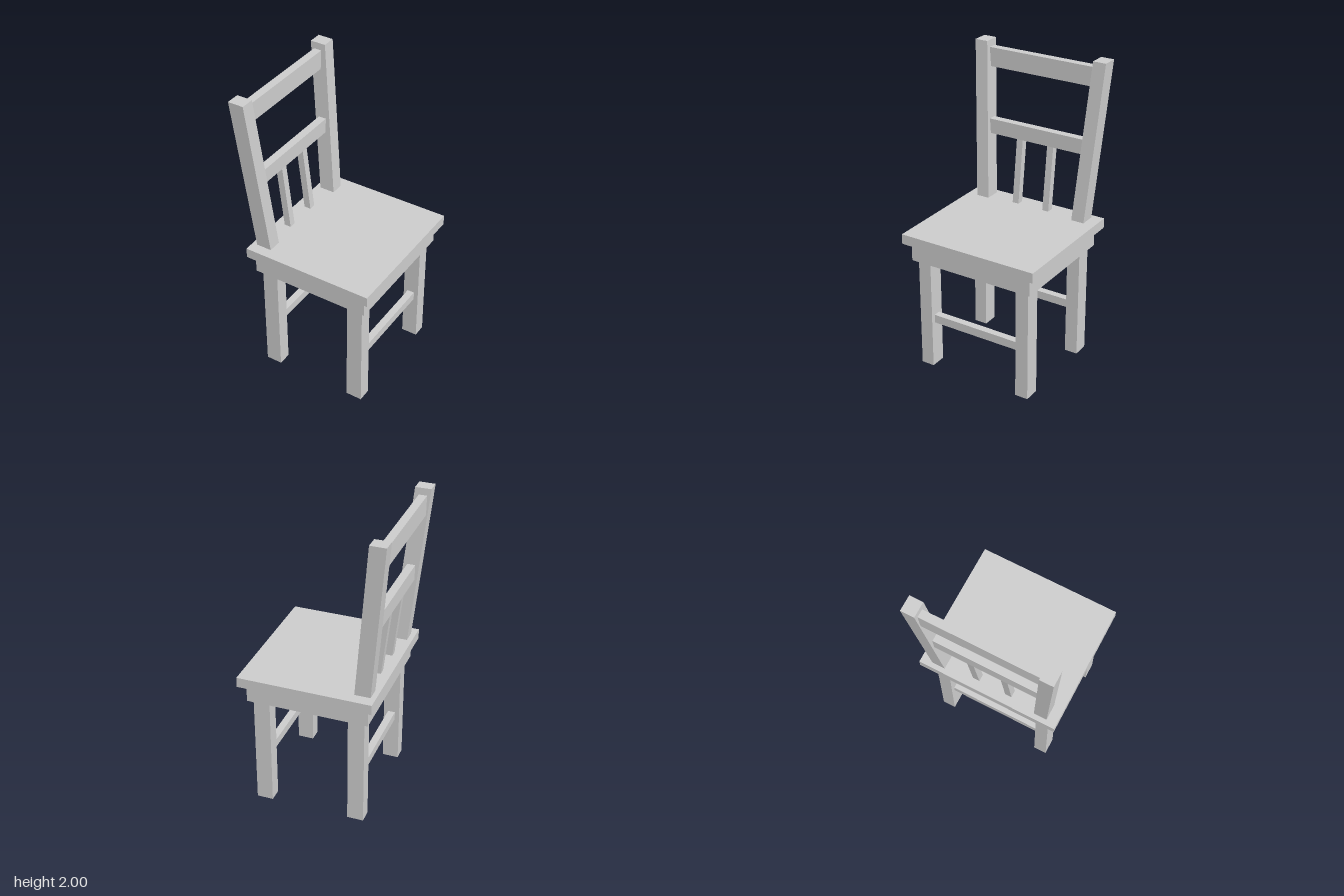
import * as THREE from 'three';

const material = new THREE.MeshStandardMaterial({ color: 0xcccccc, flatShading: true });

// Box given by its extents on each axis.
function block(name, [x0, x1], [y0, y1], [z0, z1]) {
  const mesh = new THREE.Mesh(new THREE.BoxGeometry(x1 - x0, y1 - y0, z1 - z0), material);
  mesh.position.set((x0 + x1) / 2, (y0 + y1) / 2, (z0 + z1) / 2);
  mesh.name = name;
  return mesh;
}

// Upright bar whose level top is shifted sideways by dx, dz.
function leaningBar(name, xs, ys, zs, dx, dz) {
  const mesh = block(name, xs, ys, zs);
  const p = mesh.geometry.attributes.position;
  for (let i = 0; i < p.count; i++) {
    if (p.getY(i) > 0) p.setXYZ(i, p.getX(i) + dx, p.getY(i), p.getZ(i) + dz);
  }
  mesh.geometry.computeVertexNormals();
  return mesh;
}

export function createModel() {
  const chair = new THREE.Group();
  chair.name = 'chair';

  // Seat board; the chair looks along +x
  chair.add(block('seat', [-0.408, 0.473], [0.888, 0.955], [-0.479, 0.479]));

  // Hollow apron: four boards under the seat
  const apron = new THREE.Group();
  apron.name = 'apron';
  const apronY = [0.765, 0.888];
  apron.add(
    block('apronSide', [-0.37, 0.43], apronY, [0.408, 0.438]),
    block('apronSide', [-0.37, 0.43], apronY, [-0.432, -0.402]),
    block('apronBack', [-0.37, -0.338], apronY, [-0.402, 0.408]),
    block('apronFront', [0.398, 0.43], apronY, [-0.402, 0.408])
  );
  chair.add(apron);

  // Legs in pairs, each pair joined by a stretcher
  for (const [label, x] of [['front', 0.344], ['back', -0.285]]) {
    for (const z of [[0.321, 0.41], [-0.403, -0.314]]) {
      chair.add(block(label + 'Leg', [x - 0.054, x + 0.054], [0, 0.888], z));
    }
    chair.add(block(label + 'Stretcher', [x - 0.024, x + 0.024], [0.313, 0.37], [-0.314, 0.321]));
  }

  // Back posts lean backward and outward
  for (const [z, dz] of [[[0.321, 0.41], 0.066], [[-0.403, -0.314], -0.066]]) {
    chair.add(leaningBar('backPost', [-0.375, -0.271], [0.955, 2], z, -0.1, dz));
  }

  // Cross rails of the backrest
  chair.add(
    block('topRail', [-0.45, -0.397], [1.828, 1.955], [-0.379, 0.386]),
    block('middleRail', [-0.401, -0.348], [1.388, 1.488], [-0.347, 0.355])
  );

  // Two spindles between seat and middle rail
  for (const z of [[0.103, 0.148], [-0.125, -0.08]]) {
    chair.add(leaningBar('spindle', [-0.346, -0.3], [0.955, 1.39], z, -0.05, 0));
  }

  return chair;
}
